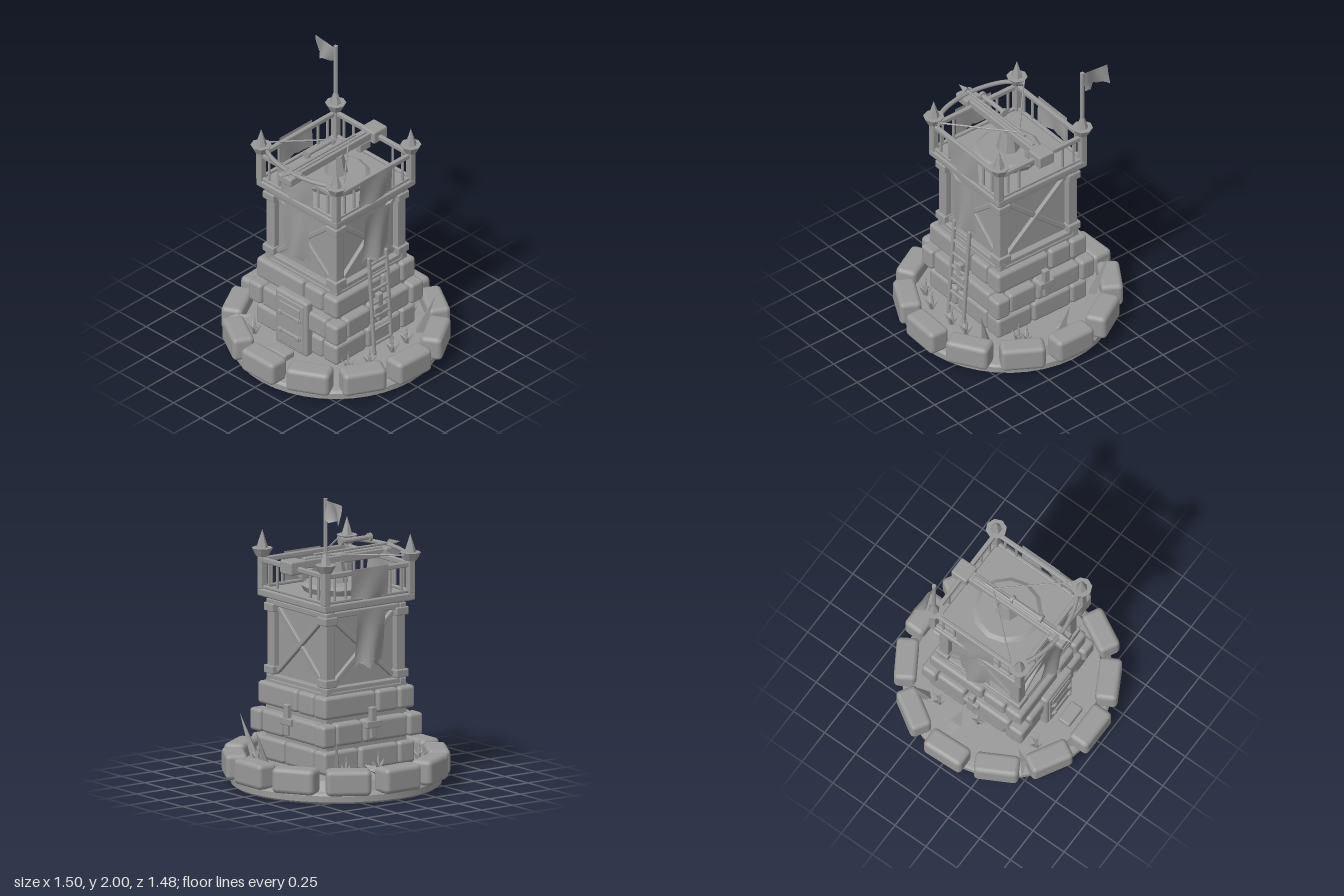
import * as THREE from 'three';
import { toCreasedNormals } from 'three/addons/utils/BufferGeometryUtils.js';
import { RoundedBoxGeometry } from 'three/addons/geometries/RoundedBoxGeometry.js';

const grey = new THREE.MeshStandardMaterial({ color: 0x999999, side: THREE.DoubleSide });
grey.name = 'stone grey';

function add(parent, name, geo, x = 0, y = 0, z = 0) {
  const m = new THREE.Mesh(geo, grey);
  m.name = name;
  m.position.set(x, y, z);
  parent.add(m);
  return m;
}
// Box with softened edges
function block(parent, name, w, h, d, x, y, z, r = 0.008) {
  return add(parent, name, new RoundedBoxGeometry(w, h, d, 2, Math.min(r, w / 2.1, h / 2.1, d / 2.1)), x, y, z);
}
function cyl(parent, name, rt, rb, h, n, x, y, z) {
  return add(parent, name, toCreasedNormals(new THREE.CylinderGeometry(rt, rb, h, n), 0.6), x, y, z);
}
// Straight bar between two points
function bar(parent, name, a, b, r, n = 6, rTop = r) {
  const p = new THREE.Vector3(...a), q = new THREE.Vector3(...b);
  const m = cyl(parent, name, rTop, r, p.distanceTo(q), n, 0, 0, 0);
  m.position.copy(p).add(q).multiplyScalar(0.5);
  m.quaternion.setFromUnitVectors(new THREE.Vector3(0, 1, 0), q.sub(p).normalize());
  return m;
}
// Hanging cloth that billows more toward its lower edge and ends in a ragged hem
function cloth(parent, name, w, h, x, top, z, bulge, rag) {
  const g = new THREE.PlaneGeometry(w, h, 8, 8), p = g.attributes.position;
  for (let i = 0; i < p.count; i++) {
    const t = 0.5 - p.getY(i) / h, u = p.getX(i) / w;
    p.setZ(i, bulge * t * Math.sin(u * 7 + t * 2));
    if (t > 0.99) p.setY(i, p.getY(i) + rag * (0.5 + 0.5 * Math.sin(u * 17 + 1)));
  }
  g.computeVertexNormals();
  return add(parent, name, g, x, top - h / 2, z);
}

export function createModel() {
  const tower = new THREE.Group();
  tower.name = 'watchtower';

  // Round base and ring of boulders
  const base = [[0, 0], [0.67, 0], [0.69, 0.015], [0.69, 0.055], [0.675, 0.07], [0.64, 0.075], [0.61, 0.14], [0, 0.15]];
  add(tower, 'base', toCreasedNormals(new THREE.LatheGeometry(base.map(p => new THREE.Vector2(...p)), 40), 0.5));
  for (let i = 0; i < 12; i++) {
    const a = i * Math.PI / 6, r = 0.667 + 0.006 * Math.sin(i * 5);
    const s = block(tower, 'ringStone', 0.295, 0.17, 0.148, Math.sin(a) * r, 0.147, Math.cos(a) * r, 0.032);
    s.rotation.y = a + 0.04 * Math.sin(i * 3.7);
  }

  // Solid cores of the stone and timber storeys
  block(tower, 'stoneCore', 0.66, 0.55, 0.66, 0, 0.415, 0);
  block(tower, 'timberCore', 0.56, 0.56, 0.56, 0, 0.95, 0);
  block(tower, 'platform', 0.74, 0.052, 0.74, 0, 1.26, 0, 0.012);

  // Four sides: masonry, framing, railing
  for (let k = 0; k < 4; k++) {
    const side = new THREE.Group();
    side.name = ['frontSide', 'leftSide', 'backSide', 'rightSide'][k];
    side.rotation.y = k * Math.PI / 2;
    tower.add(side);
    for (const [y, cut] of [[0.23, -0.08], [0.595, 0.06]]) {
      block(side, 'brick', cut + 0.365, 0.15, 0.13, (cut - 0.375) / 2, y, 0.305, 0.024);
      block(side, 'brick', 0.23 - cut, 0.15, 0.13, (cut + 0.24) / 2, y, 0.305, 0.024);
    }
    block(side, 'cornerBrick', 0.115, 0.15, 0.115, 0.35, 0.415, 0.35, 0.024);
    block(side, 'brick', 0.22, 0.15, 0.12, -0.18, 0.415, 0.335, 0.024);
    block(side, 'brick', 0.35, 0.15, 0.12, 0.115, 0.415, 0.335, 0.024);

    // Timber frame with crossed braces
    block(side, 'cornerPost', 0.075, 0.55, 0.075, 0.285, 0.955, 0.285);
    for (const y of [0.75, 1.165]) block(side, 'postCollar', 0.1, 0.055, 0.1, 0.29, y, 0.29);
    for (const y of [0.7, 1.2]) block(side, 'beam', 0.66, 0.04, 0.05, 0, y, 0.3);
    for (const s of [-1, 1]) {
      const brace = block(side, 'brace', 0.64, 0.035, 0.03, 0, 0.955, 0.288 + s * 0.004);
      brace.rotation.z = s * 0.72;
    }

    // Railing, corner post and spiked finial
    block(side, 'railPost', 0.05, 0.22, 0.05, 0.345, 1.39, 0.345);
    block(side, 'topRail', 0.66, 0.035, 0.03, 0, 1.475, 0.345);
    block(side, 'bottomRail', 0.66, 0.022, 0.025, 0, 1.297, 0.345);
    for (const x of [-0.27, -0.18, 0.18, 0.27]) block(side, 'baluster', 0.018, 0.18, 0.018, x, 1.385, 0.345);
    cyl(side, 'finialCup', 0.07, 0.042, 0.055, 8, 0.345, 1.527, 0.345);
    cyl(side, 'finialSpike', 0, 0.04, 0.125, 6, 0.345, 1.615, 0.345);

    // Banners on every side but the back
    if (k !== 2) {
      cloth(side, 'upperBanner', 0.3, 0.21, 0, 1.5, 0.37, 0.012, 0.015);
      cloth(side, 'longBanner', 0.23, 0.39, 0, 1.22, 0.38, 0.03, 0.05);
    }
    // Cross shaped arrow slits on every side but the front
    if (k !== 0) {
      block(side, 'slitUpright', 0.045, 0.21, 0.04, 0, 0.47, 0.395);
      block(side, 'slitCrossbar', 0.12, 0.05, 0.042, 0, 0.46, 0.397);
    }
  }

  // Door with hatch, straps and step
  block(tower, 'door', 0.29, 0.42, 0.07, 0, 0.35, 0.385, 0.02);
  block(tower, 'doorPanel', 0.24, 0.36, 0.02, 0, 0.35, 0.418);
  block(tower, 'doorHatch', 0.19, 0.09, 0.015, 0, 0.45, 0.428);
  for (const y of [0.27, 0.41]) {
    block(tower, 'doorStrap', 0.21, 0.025, 0.02, 0, y, 0.43);
    for (const x of [-0.08, 0.08]) block(tower, 'strapStud', 0.03, 0.035, 0.03, x, y, 0.434);
  }
  block(tower, 'doorStep', 0.155, 0.05, 0.09, 0, 0.16, 0.505, 0.012);

  // Ladder against the left side
  const lean = y => 0.432 - 0.07 * (y - 0.15);
  for (const z of [-0.08, 0.08]) {
    const rail = block(tower, 'ladderRail', 0.024, 0.74, 0.024, lean(0.51), 0.51, z);
    rail.rotation.z = 0.07;
  }
  for (let i = 0; i < 7; i++) block(tower, 'ladderRung', 0.018, 0.022, 0.17, lean(0.22 + i * 0.1), 0.22 + i * 0.1, 0);

  // Flag on the back corner
  cyl(tower, 'flagPole', 0.014, 0.014, 0.48, 8, -0.345, 1.76, -0.345);
  const flag = cloth(tower, 'flag', 0.19, 0.14, -0.45, 1.985, -0.35, 0.03, 0.02);
  flag.rotation.y = -0.1;

  // Giant crossbow: turntable, pedestal, stock
  const bow = new THREE.Group();
  bow.name = 'crossbow';
  tower.add(bow);
  cyl(bow, 'turntable', 0.2, 0.23, 0.02, 12, 0, 1.335, 0);
  cyl(bow, 'turntableBase', 0.23, 0.21, 0.04, 12, 0, 1.305, 0);
  cyl(bow, 'pedestal', 0.05, 0.08, 0.14, 8, 0, 1.41, 0);
  block(bow, 'stock', 0.07, 0.055, 0.8, 0, 1.495, 0.03);
  block(bow, 'stockGroove', 0.035, 0.02, 0.66, 0, 1.525, 0.06);
  block(bow, 'rearBlock', 0.125, 0.09, 0.125, 0, 1.485, -0.353, 0.012);
  block(bow, 'trigger', 0.05, 0.06, 0.1, 0, 1.43, -0.25);
  block(bow, 'noseBlock', 0.12, 0.06, 0.12, 0, 1.5, 0.42, 0.012);
  // Curved limbs and string
  const limb = new THREE.CatmullRomCurve3([[-0.36, 0.28], [-0.25, 0.37], [0, 0.42], [0.25, 0.37], [0.36, 0.28]]
    .map(([x, z]) => new THREE.Vector3(x, 1.535, z)));
  add(bow, 'bowLimbs', new THREE.TubeGeometry(limb, 20, 0.016, 6));
  for (const s of [-1, 1]) bar(bow, 'bowString', [s * 0.355, 1.54, 0.285], [0, 1.54, -0.12], 0.006);
  // Bolt and sight
  bar(bow, 'boltShaft', [0, 1.545, -0.18], [0, 1.545, 0.46], 0.009);
  bar(bow, 'boltHead', [0, 1.545, 0.43], [0, 1.545, 0.52], 0.028, 4, 0);
  bar(bow, 'sightTube', [0, 1.605, 0.03], [0, 1.605, 0.28], 0.016, 10);
  for (const z of [0.03, 0.26]) bar(bow, 'sightCap', [0, 1.605, z], [0, 1.605, z + 0.02], 0.028, 12);

  // Tall thorns leaning outward
  for (const [x, z, tx, tz] of [[0, -0.55, 0, -0.655], [0.44, -0.33, 0.53, -0.39], [-0.44, -0.33, -0.53, -0.39]])
    bar(tower, 'thorn', [x, 0.13, z], [tx, 0.43, tz], 0.035, 4, 0);

  // Tufts of short blades
  const tufts = [[0.22, -0.48], [0.26, -0.44], [0.48, -0.17], [0.49, -0.03], [0.49, 0.18], [0.43, 0.32], [-0.3, 0.45], [-0.43, -0.24], [-0.39, 0.05]];
  for (const [x, z] of tufts) {
    bar(tower, 'grassBlade', [x, 0.13, z], [x, 0.29, z], 0.022, 4, 0);
    for (let i = 0; i < 5; i++) {
      const a = i * 1.257 + x * 9;
      bar(tower, 'grassBlade', [x, 0.14, z], [x + 0.05 * Math.cos(a), 0.22, z + 0.05 * Math.sin(a)], 0.018, 4, 0);
    }
  }

  // Broad low leaves
  for (const [x, z, a] of [[-0.5, -0.06, 0.1], [-0.03, -0.53, 1.4], [-0.47, 0.44, 0.75]]) {
    const leaf = add(tower, 'leaf', toCreasedNormals(new THREE.OctahedronGeometry(0.1), 0.3), x, 0.18, z);
    leaf.scale.set(1, 0.25, 0.45);
    leaf.rotation.set(0, a, 0.2);
  }
  return tower;
}
